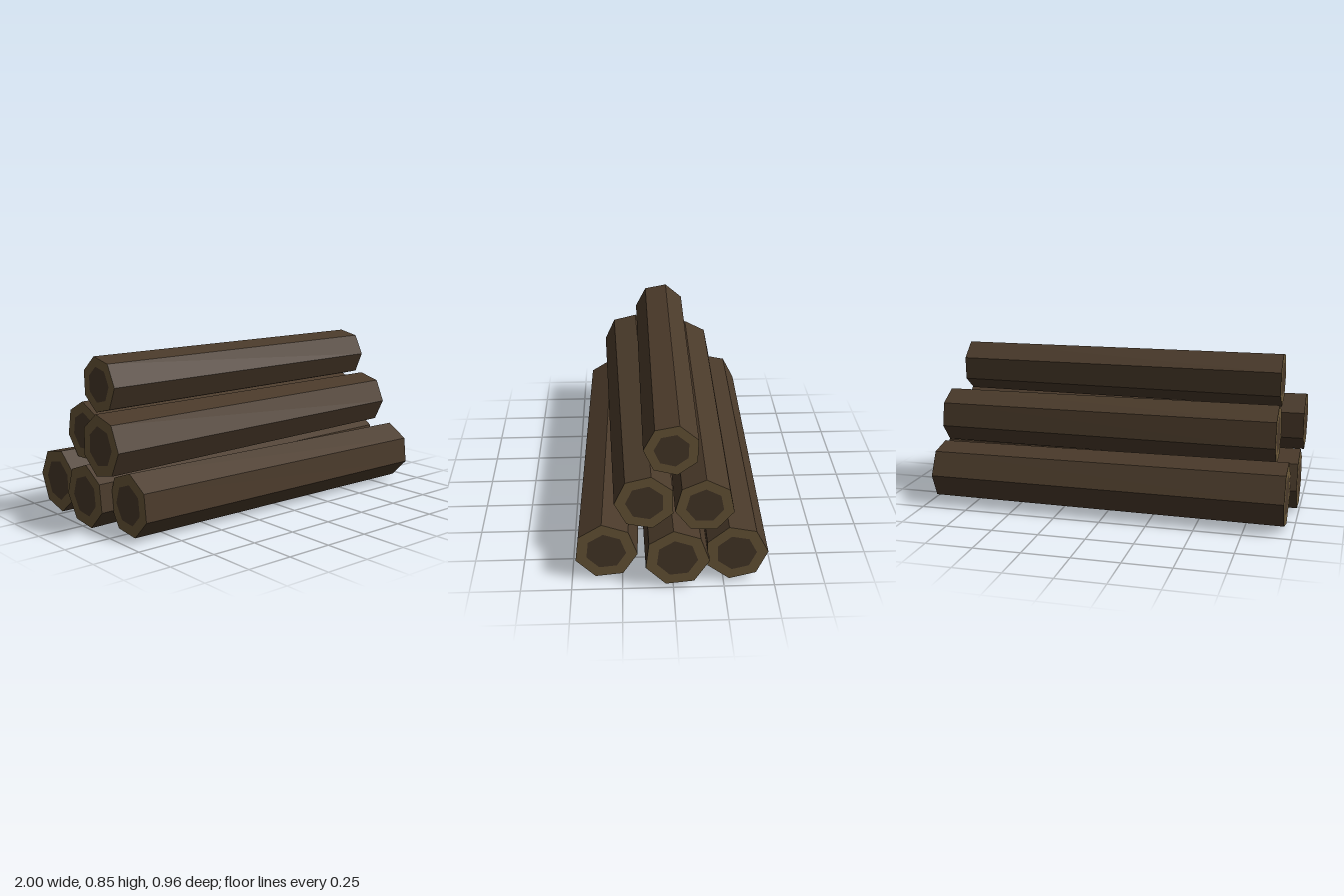
import * as THREE from 'three';

const SIDES = 7;
const paint = (color) => new THREE.MeshStandardMaterial({ color, flatShading: true, roughness: 1 });

// Each log: x range, [y, z, radius] at both ends, and turn in degrees about its axis
const LOGS = [
  { name: 'bottomFrontLog', x: [-0.92, 0.915], left: [0.172, 0.33, 0.158], right: [0.172, 0.297, 0.163], turn: -19 },
  { name: 'bottomMiddleLog', x: [-0.99, 0.995], left: [0.18, -0.017, 0.161], right: [0.168, 0.014, 0.165], turn: -19 },
  { name: 'bottomBackLog', x: [-0.955, 0.955], left: [0.175, -0.31, 0.157], right: [0.175, -0.31, 0.17], turn: -27 },
  { name: 'middleFrontLog', x: [-1, 0.92], left: [0.455, 0.134, 0.149], right: [0.455, 0.187, 0.16], turn: -1 },
  { name: 'middleBackLog', x: [-0.885, 0.955], left: [0.455, -0.152, 0.146], right: [0.455, -0.152, 0.157], turn: -11 },
  { name: 'topLog', x: [-0.885, 0.88], left: [0.719, 0.003, 0.137], right: [0.719, 0.003, 0.146], turn: 2 },
];

export function createModel() {
  const group = new THREE.Group();
  group.name = 'logPile';
  const bark = paint(0x4a3a2a);
  const sapwood = paint(0x6b5839);
  const heartwood = paint(0x483929);

  for (const { name, x, left: [y1, z1, r1], right: [y0, z0, r0], turn } of LOGS) {
    const log = new THREE.Group();
    log.name = name;
    const add = (part, geometry, material) => {
      const mesh = new THREE.Mesh(geometry, material);
      mesh.name = part;
      log.add(mesh);
      return mesh;
    };
    const angle = THREE.MathUtils.degToRad(turn);
    const length = x[1] - x[0];

    // Tapered bark, laid along x and sheared so its ends meet the two centres
    const trunk = new THREE.CylinderGeometry(r1, r0, length, SIDES, 1, true, -angle);
    trunk.rotateZ(-Math.PI / 2);
    const pos = trunk.attributes.position;
    for (let i = 0; i < pos.count; i++) {
      const t = pos.getX(i) / length + 0.5;
      pos.setXYZ(
        i,
        x[0] + t * length,
        pos.getY(i) + THREE.MathUtils.lerp(y0, y1, t),
        pos.getZ(i) + THREE.MathUtils.lerp(z0, z1, t),
      );
    }
    trunk.computeVertexNormals();
    add('bark', trunk, bark);

    // Sawn ends: pale ring around a dark core
    for (const [side, px, py, pz, r] of [[1, x[1], y1, z1, r1], [-1, x[0], y0, z0, r0]]) {
      const start = side > 0 ? Math.PI - angle : angle;
      const core = r * 0.64;
      const faces = [
        add('endRing', new THREE.RingGeometry(core, r, SIDES, 1, start), sapwood),
        add('endCore', new THREE.CircleGeometry(core, SIDES, start), heartwood),
      ];
      for (const face of faces) {
        face.rotation.y = side * Math.PI / 2;
        face.position.set(px, py, pz);
      }
    }
    group.add(log);
  }
  return group;
}
